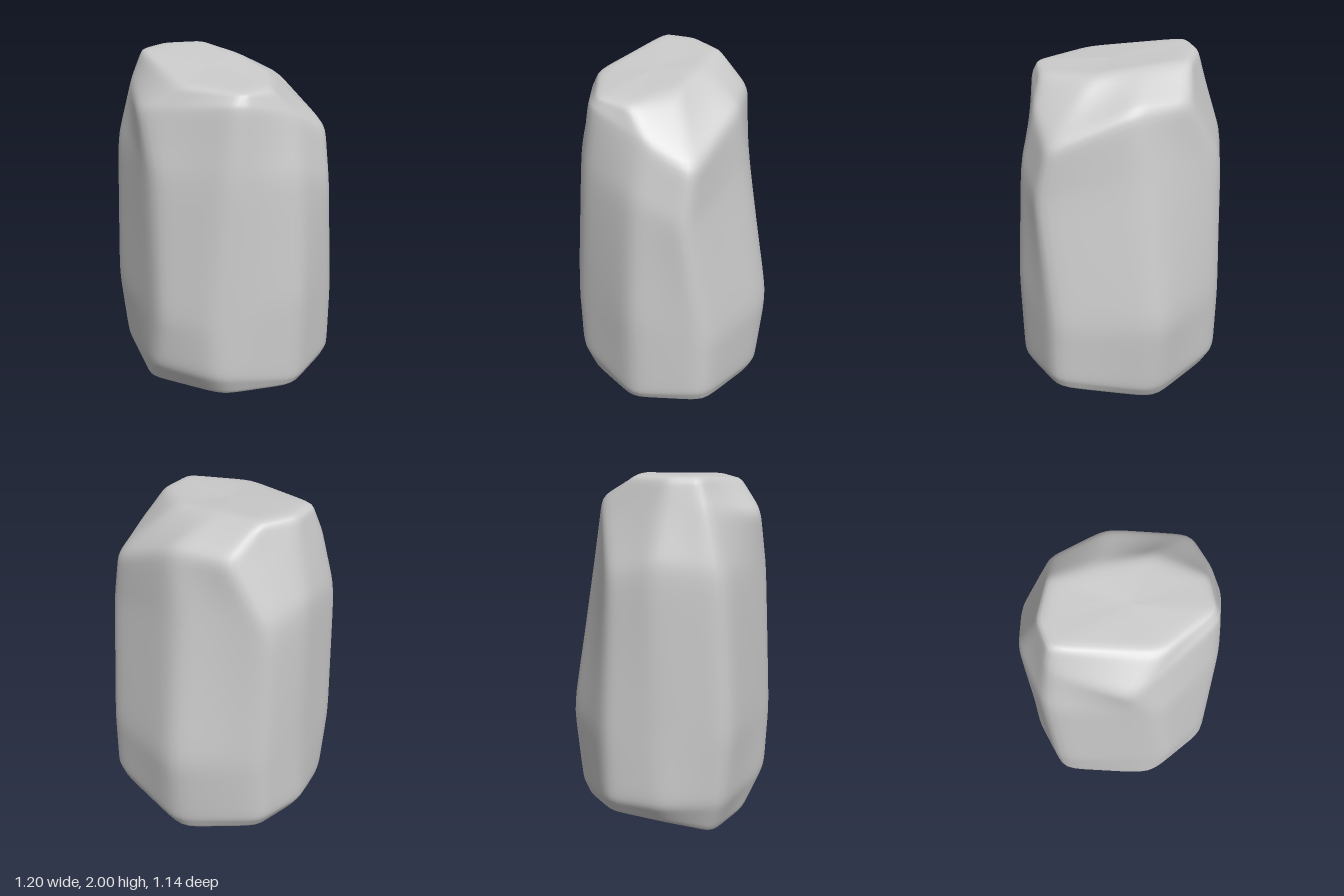
import * as THREE from 'three';

// Corner rings from bottom to top. Eight corners each, counterclockwise from the
// front left: [x, y, z].
const RINGS = [
  // bottom edge
  [[-0.47, -0.015, 0.3], [-0.2, 0.025, 0.45], [0.35, 0.115, 0.35], [0.56, 0.135, 0],
    [0.45, 0.15, -0.4], [-0.1, 0.035, -0.49], [-0.48, 0.09, -0.27], [-0.51, 0.05, 0.05]],
  // bottom rim
  [[-0.535, 0.2, 0.37], [-0.02, 0.26, 0.575], [0.37, 0.27, 0.42], [0.595, 0.2, -0.01],
    [0.485, 0.24, -0.42], [-0.08, 0.14, -0.55], [-0.535, 0.2, -0.305], [-0.605, 0.19, 0.02]],
  // belly
  [[-0.56, 0.62, 0.41], [0.055, 0.62, 0.592], [0.36, 0.62, 0.43], [0.61, 0.75, -0.01],
    [0.485, 0.6, -0.425], [-0.1, 0.6, -0.598], [-0.545, 0.62, -0.31], [-0.6, 0.62, 0]],
  // upper body
  [[-0.57, 1.48, 0.365], [0.0, 1.45, 0.565], [0.41, 1.48, 0.355], [0.565, 1.45, -0.02],
    [0.535, 1.32, -0.32], [-0.05, 1.48, -0.46], [-0.53, 1.45, -0.28], [-0.615, 1.53, -0.02]],
  // shoulder
  [[-0.515, 1.84, 0.28], [-0.14, 1.785, 0.54], [0.42, 1.89, 0.3], [0.49, 1.77, -0.06],
    [0.47, 1.645, -0.335], [0.02, 1.845, -0.41], [-0.32, 1.83, -0.35], [-0.53, 1.82, 0]],
  // top edge
  [[-0.475, 2.015, 0.23], [0.07, 1.955, 0.4], [0.395, 1.95, 0.25], [0.415, 1.945, 0.06],
    [0.18, 1.965, -0.14], [-0.1, 1.995, -0.15], [-0.38, 2.01, -0.14], [-0.485, 2.015, 0.05]],
];
const BOTTOM = [0.02, 0.11, 0.02];
const TOP = [-0.02, 1.975, 0.1];
const STEPS = 10;      // samples along each facet
const SOFTENING = 6;   // rounding passes

function stoneGeometry() {
  const toVectors = (ring) => ring.map((p) => new THREE.Vector3(...p));
  const levels = [Array(8).fill(BOTTOM), ...RINGS, Array(8).fill(TOP)].map(toVectors);
  const cols = 8 * STEPS;
  const rows = (levels.length - 1) * STEPS + 1;

  // Sample the faceted cage as a regular grid
  const corner = (level, u) => {
    const i = Math.floor(u / STEPS);
    return levels[level][i].clone().lerp(levels[level][(i + 1) % 8], (u % STEPS) / STEPS);
  };
  let grid = [];
  for (let r = 0; r < rows; r++) {
    const level = Math.min(Math.floor(r / STEPS), levels.length - 2);
    const t = r / STEPS - level;
    const row = [];
    for (let u = 0; u < cols; u++) row.push(corner(level, u).lerp(corner(level + 1, u), t));
    grid.push(row);
  }

  // Wear the edges down by averaging each point with its neighbours
  for (let pass = 0; pass < SOFTENING; pass++) {
    grid = grid.map((row, r) => row.map((p, u) => {
      if (r === 0 || r === rows - 1) return p;
      return new THREE.Vector3()
        .add(row[(u + 1) % cols]).add(row[(u + cols - 1) % cols])
        .add(grid[r - 1][u]).add(grid[r + 1][u])
        .multiplyScalar(0.125).addScaledVector(p, 0.5);
    }));
  }

  // One vertex at each pole, shared vertices elsewhere
  const points = [grid[0][0], ...grid.slice(1, -1).flat(), grid[rows - 1][0]];
  const id = (r, u) => {
    if (r === 0) return 0;
    if (r === rows - 1) return points.length - 1;
    return 1 + (r - 1) * cols + (u % cols);
  };
  const index = [];
  for (let r = 0; r < rows - 1; r++) {
    for (let u = 0; u < cols; u++) {
      const a = id(r, u), b = id(r, u + 1), c = id(r + 1, u + 1), d = id(r + 1, u);
      if (r > 0) index.push(a, b, c);
      if (r < rows - 2) index.push(a, c, d);
    }
  }

  const geometry = new THREE.BufferGeometry().setFromPoints(points);
  geometry.setIndex(index);
  geometry.computeVertexNormals();

  // Centre it and stand it on the ground
  geometry.center();
  geometry.translate(0, -geometry.boundingBox.min.y, 0);
  return geometry;
}

export function createModel() {
  const group = new THREE.Group();
  group.name = 'rock';
  const stone = new THREE.Mesh(
    stoneGeometry(),
    new THREE.MeshStandardMaterial({ color: 0xcccccc }),
  );
  stone.name = 'stone';
  group.add(stone);
  return group;
}
